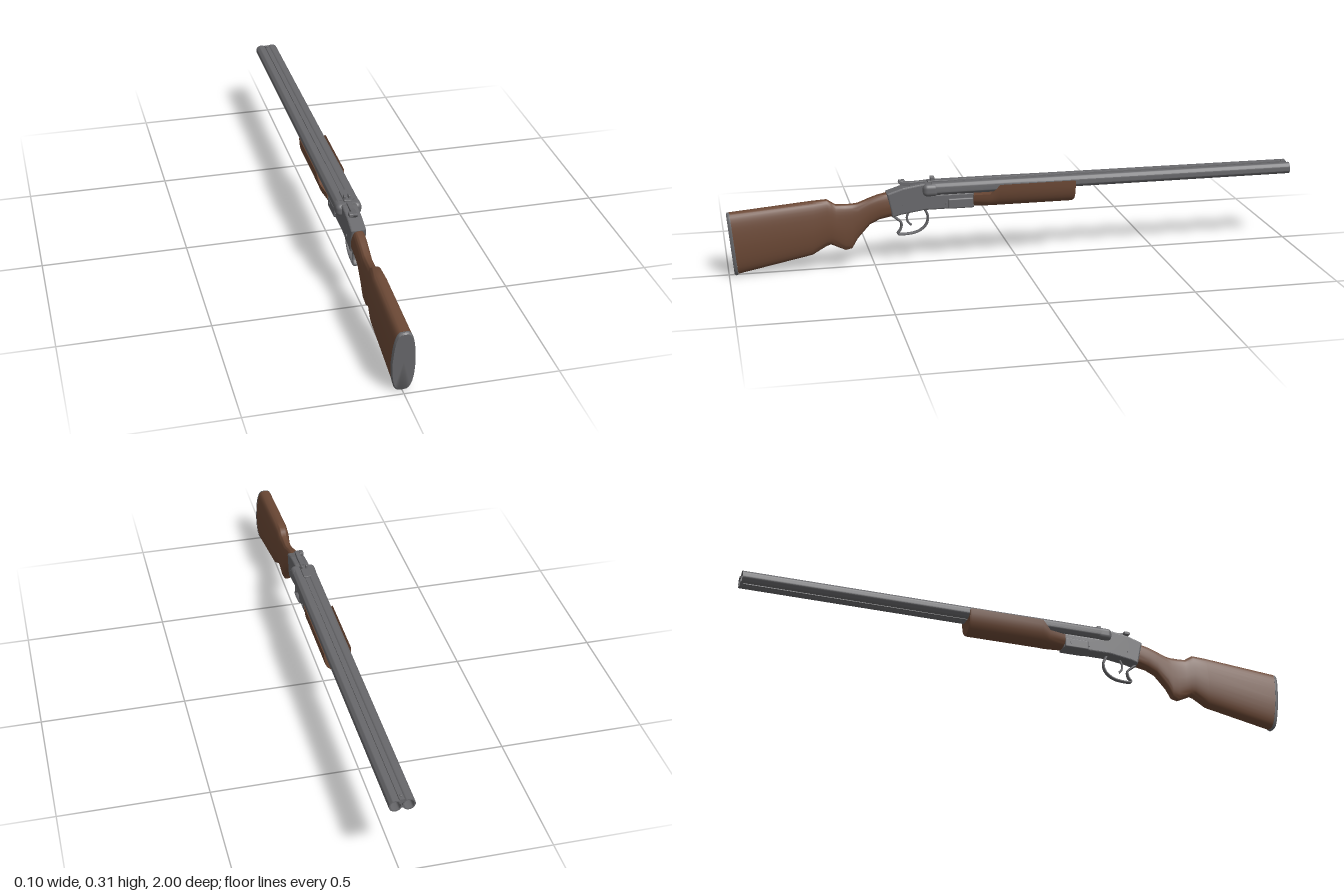
import * as THREE from 'three';
import { toCreasedNormals } from 'three/addons/utils/BufferGeometryUtils.js';
import { RoundedBoxGeometry } from 'three/addons/geometries/RoundedBoxGeometry.js';

const metal = new THREE.MeshStandardMaterial({ color: 0x68686b });
metal.name = 'gunmetal grey';
const wood = new THREE.MeshStandardMaterial({ color: 0x6b4835 });
wood.name = 'walnut brown';

// Closed skin through rings of [x, y, z] points, ordered towards +z
function loft(rings) {
  const n = rings[0].length;
  const pos = rings.flat(2);
  const idx = [];
  for (let r = 0; r < rings.length - 1; r++) {
    for (let i = 0; i < n; i++) {
      const a = r * n + i, b = r * n + (i + 1) % n;
      idx.push(a, b, b + n, a, b + n, a + n);
    }
  }
  [0, rings.length - 1].forEach((r, end) => {
    const c = pos.length / 3;
    for (let k = 0; k < 3; k++) pos.push(rings[r].reduce((s, p) => s + p[k], 0) / n);
    for (let i = 0; i < n; i++) {
      const a = r * n + i, b = r * n + (i + 1) % n;
      if (end) idx.push(c, a, b);
      else idx.push(c, b, a);
    }
  });
  const g = new THREE.BufferGeometry();
  g.setAttribute('position', new THREE.Float32BufferAttribute(pos, 3));
  g.setIndex(idx);
  return toCreasedNormals(g, 0.75);
}

// Soft oblong cross-section, slightly narrower at the top
function stockRing([zTop, yTop, zBot, yBot, w]) {
  const ring = [];
  for (let i = 0; i < 32; i++) {
    const a = (i / 32) * Math.PI * 2, c = Math.cos(a), s = Math.sin(a);
    const t = Math.sign(s) * Math.abs(s) ** (s > 0 ? 0.6 : 0.85);
    const x = w * Math.sign(c) * Math.abs(c) ** 0.6 * (1 - 0.18 * Math.max(t, 0));
    const k = (t + 1) / 2;
    ring.push([x, yBot + (yTop - yBot) * k, zBot + (zTop - zBot) * k]);
  }
  return ring;
}

// U-shaped cross-section that cradles the barrels
function forearmRing([z, w, h, bottom]) {
  const ring = [];
  for (let i = 0; i <= 16; i++) {
    const a = (i / 16) * Math.PI;
    ring.push([-w * Math.sign(Math.cos(a)) * Math.abs(Math.cos(a)) ** 0.8,
      h - (h - bottom) * Math.sin(a) ** 0.9, z]);
  }
  const inner = Math.min(h, 0.25);
  ring.push([0.03, inner, z], [-0.03, inner, z]);
  return ring;
}

// Side profile in (z, y), extruded across x with a small bevel
function slab(points, halfWidth, bevel) {
  const shape = new THREE.Shape(points.map(([z, y]) => new THREE.Vector2(z, y)));
  const depth = (halfWidth - bevel) * 2;
  const g = new THREE.ExtrudeGeometry(shape, {
    depth, bevelSize: bevel, bevelThickness: bevel, bevelOffset: -bevel, bevelSegments: 3,
  });
  g.translate(0, 0, -depth / 2);
  g.rotateY(-Math.PI / 2);
  return g;
}

export function createModel() {
  const group = new THREE.Group();
  const add = (name, geometry, material, x = 0, y = 0, z = 0) => {
    const mesh = new THREE.Mesh(geometry, material);
    mesh.name = name;
    mesh.position.set(x, y, z);
    group.add(mesh);
    return mesh;
  };

  // Shoulder stock with pistol grip, and its butt plate
  add('stock', loft([
    [0.455, 0.262, 0.437, 0.178, 0.024],
    [0.485, 0.256, 0.48, 0.17, 0.023],
    [0.515, 0.246, 0.515, 0.153, 0.022],
    [0.555, 0.231, 0.558, 0.105, 0.022],
    [0.575, 0.229, 0.578, 0.071, 0.022],
    [0.6, 0.229, 0.6, 0.066, 0.022],
    [0.63, 0.23, 0.63, 0.08, 0.023],
    [0.645, 0.24, 0.65, 0.09, 0.025],
    [0.66, 0.25, 0.665, 0.086, 0.028],
    [0.71, 0.247, 0.715, 0.058, 0.034],
    [0.99, 0.224, 0.969, 0.008, 0.037],
  ].map(stockRing)), wood);
  add('buttPlate', loft([
    [0.989, 0.224, 0.969, 0.005, 0.038],
    [0.996, 0.223, 0.977, 0.003, 0.038],
    [1.0, 0.218, 0.982, 0.008, 0.035],
  ].map(stockRing)), metal);

  // Wooden forearm
  add('forearm', loft([
    [-0.205, 0.047, 0.277, 0.2],
    [-0.198, 0.049, 0.279, 0.196],
    [0.065, 0.049, 0.279, 0.196],
    [0.08, 0.047, 0.262, 0.196],
    [0.095, 0.043, 0.246, 0.196],
    [0.155, 0.034, 0.243, 0.198],
  ].map(forearmRing)), wood);

  // Twin hollow barrels
  const barrelProfile = [[0, -0.3], [0.0225, -0.3], [0.0225, -0.07], [0.0215, 0.1], [0.0205, 1],
    [0.0165, 1], [0.0165, 0.75], [0, 0.75]].map(([r, y]) => new THREE.Vector2(r, y));
  for (const side of [1, -1]) {
    const g = new THREE.LatheGeometry(barrelProfile, 32);
    g.rotateX(-Math.PI / 2);
    add(side > 0 ? 'leftBarrel' : 'rightBarrel', toCreasedNormals(g, 0.6), metal, side * 0.0213, 0.272, 0);
  }
  add('sightRib', new THREE.BoxGeometry(0.016, 0.016, 1.29), metal, 0, 0.284, -0.352);
  add('lowerRib', new THREE.BoxGeometry(0.012, 0.012, 0.79), metal, 0, 0.26, -0.595);
  add('frontBead', new THREE.SphereGeometry(0.004, 12, 8), metal, 0, 0.293, -0.98);

  // Receiver and standing breech
  add('receiver', slab([[0.456, 0.263], [0.438, 0.177], [0.41, 0.185], [0.33, 0.197], [0.152, 0.197],
    [0.152, 0.252], [0.29, 0.252], [0.29, 0.29], [0.335, 0.291], [0.4, 0.281]], 0.026, 0.006), metal);
  add('breech', new RoundedBoxGeometry(0.088, 0.044, 0.055, 4, 0.016), metal, 0, 0.27, 0.305);
  add('hingeBlock', new RoundedBoxGeometry(0.062, 0.036, 0.09, 3, 0.005), metal, 0, 0.216, 0.2);
  for (const z of [0.18, 0.25, 0.4]) {
    const pin = new THREE.CylinderGeometry(0.005, 0.005, z < 0.2 ? 0.066 : 0.056, 16);
    pin.rotateZ(Math.PI / 2);
    add('receiverPin', pin, metal, 0, 0.217, z);
  }

  // Opening lever, thumb tab and rear sight posts
  add('topLever', slab([[0.32, 0.288], [0.32, 0.298], [0.365, 0.296], [0.405, 0.3], [0.414, 0.297],
    [0.405, 0.285], [0.365, 0.284]], 0.008, 0.002), metal);
  add('thumbTab', new RoundedBoxGeometry(0.016, 0.012, 0.022, 2, 0.003), metal, -0.013, 0.295, 0.4);
  add('sightBase', new RoundedBoxGeometry(0.026, 0.008, 0.075, 2, 0.002), metal, 0, 0.294, 0.275);
  for (const x of [-0.008, 0.008]) {
    add('rearSightPost', new RoundedBoxGeometry(0.007, 0.017, 0.016, 2, 0.002), metal, x, 0.3015, 0.295);
  }

  // Trigger guard strap and triggers
  const curve = (pts) => new THREE.CatmullRomCurve3(pts.map(([z, y]) => new THREE.Vector3(0, y, z)));
  const guard = new THREE.TubeGeometry(curve([[0.44, 0.182], [0.425, 0.17], [0.405, 0.15], [0.408, 0.128],
    [0.418, 0.112], [0.385, 0.109], [0.345, 0.117], [0.318, 0.14], [0.312, 0.168], [0.325, 0.2]]), 60, 0.0045, 10);
  guard.scale(2, 1, 1);
  add('triggerGuard', guard, metal);
  add('trigger', new THREE.TubeGeometry(curve([[0.375, 0.195], [0.385, 0.17], [0.382, 0.153], [0.37, 0.14]]),
    16, 0.004, 8), metal);

  return group;
}
